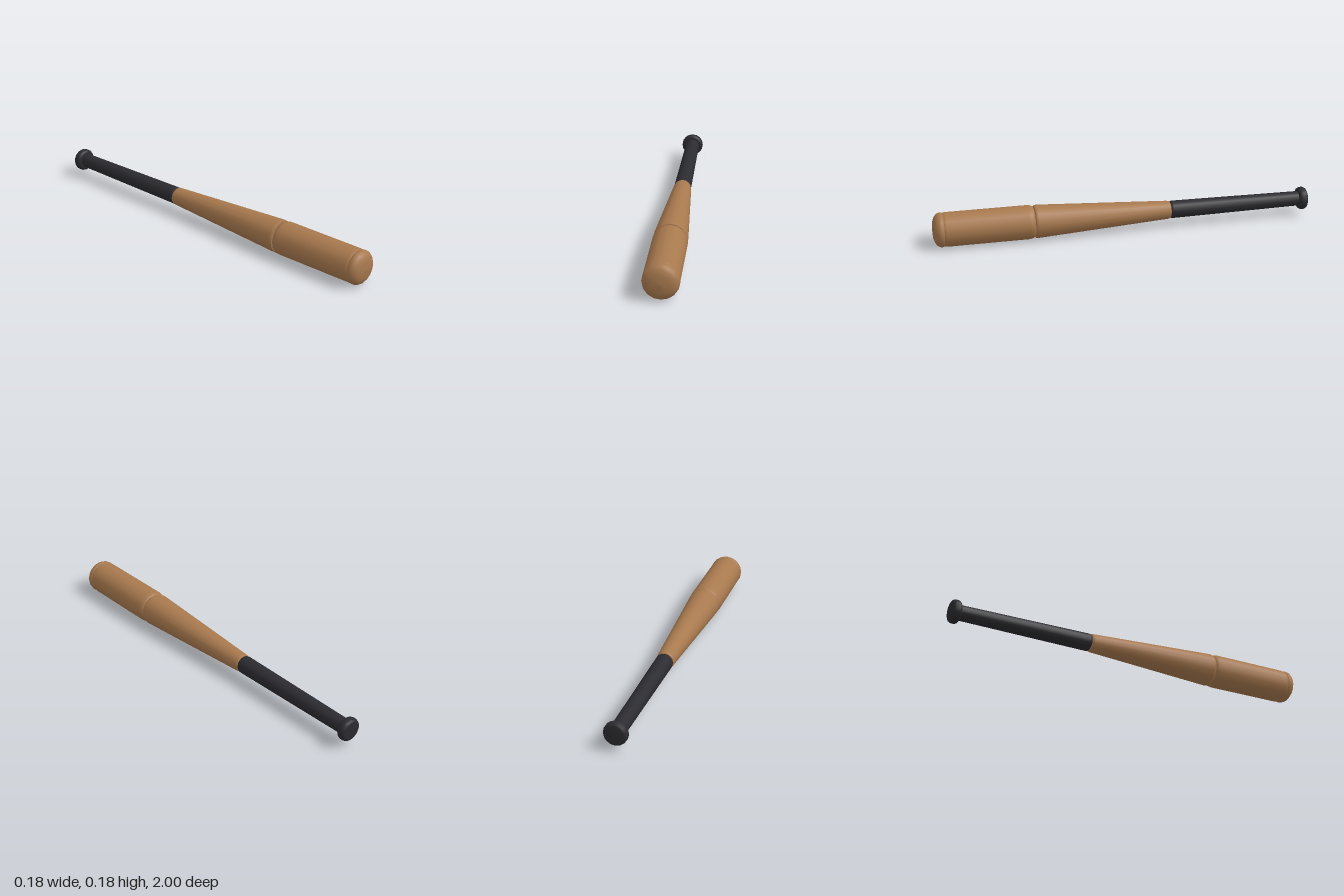
import * as THREE from 'three';

const SIDES = 16;
const AXIS_Y = 0.089;

// Turned part around the z axis; profile is [radius, z] from back to front
function turned(name, material, profile) {
  const points = profile.map(([r, z]) => new THREE.Vector2(r, z));
  const geometry = new THREE.LatheGeometry(points, SIDES);
  geometry.rotateX(Math.PI / 2);
  const mesh = new THREE.Mesh(geometry, material);
  mesh.name = name;
  mesh.position.y = AXIS_Y;
  return mesh;
}

export function createModel() {
  const wood = new THREE.MeshStandardMaterial({ color: 0xa8794e });
  const black = new THREE.MeshStandardMaterial({ color: 0x2b2b30 });
  const bat = new THREE.Group();
  bat.name = 'bat';

  bat.add(
    // Rounded knob at the back end
    turned('knob', black, [
      [0, -1], [0.045, -1], [0.055, -0.995], [0.06, -0.985],
      [0.06, -0.967], [0.055, -0.958], [0.045, -0.953], [0, -0.953],
    ]),
    // Slightly flared grip
    turned('grip', black, [
      [0, -0.96], [0.038, -0.96], [0.039, -0.95], [0.046, -0.255],
      [0.045, -0.247], [0.041, -0.242], [0, -0.242],
    ]),
    // Tapered middle
    turned('taper', wood, [
      [0, -0.243], [0.041, -0.243], [0.046, -0.238], [0.048, -0.225],
      [0.086, 0.465], [0.085, 0.475], [0.08, 0.481], [0, 0.481],
    ]),
    // Barrel with softened ends
    turned('barrel', wood, [
      [0, 0.478], [0.072, 0.478], [0.081, 0.485], [0.086, 0.497], [0.088, 0.515],
      [0.088, 0.93], [0.086, 0.943], [0.08, 0.95], [0, 0.95],
    ]),
    // Domed end cap
    turned('endCap', wood, [
      [0, 0.938], [0.078, 0.938], [0.085, 0.944], [0.089, 0.955], [0.087, 0.966],
      [0.08, 0.978], [0.066, 0.989], [0.042, 0.997], [0, 1],
    ]),
  );
  return bat;
}
